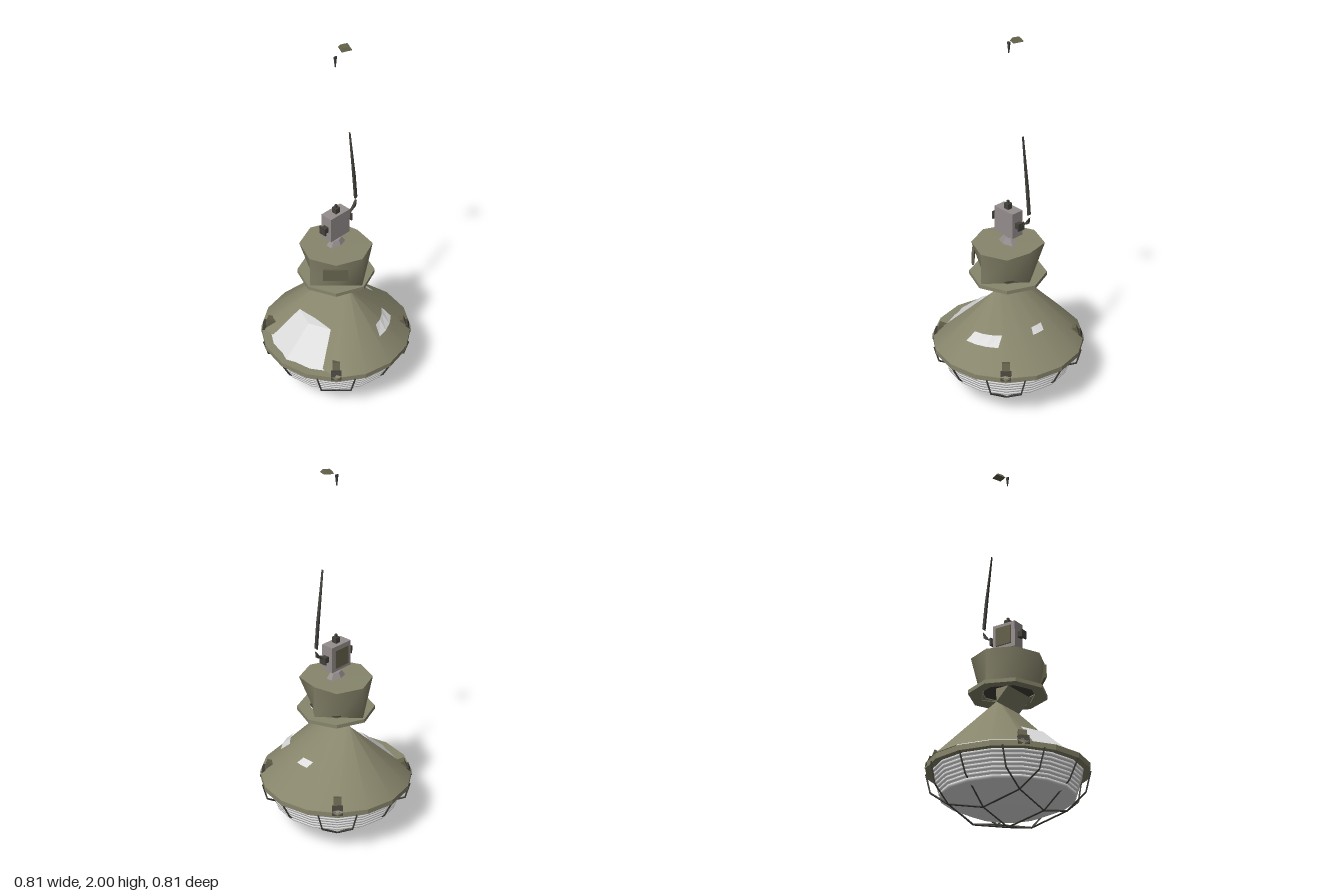
import * as THREE from 'three';

const DS = THREE.DoubleSide;
const mat = (name, color, flatShading = true) => {
  const m = new THREE.MeshStandardMaterial({ color, flatShading, side: DS });
  m.name = name;
  return m;
};

// Skin between rings of [x, y, z] points
function loft(rings, closed = true) {
  const n = rings[0].length, idx = [];
  for (let r = 0; r < rings.length - 1; r++) {
    for (let i = 0; i < (closed ? n : n - 1); i++) {
      const j = (i + 1) % n, a = r * n + i, b = r * n + j;
      idx.push(a, b, b + n, a, b + n, a + n);
    }
  }
  const g = new THREE.BufferGeometry();
  g.setAttribute('position', new THREE.Float32BufferAttribute(rings.flat(2), 3));
  g.setIndex(idx);
  g.computeVertexNormals();
  return g;
}

// Regular ring, starting at +z and turning towards +x
const ring = (n, r, y) => Array.from({ length: n }, (_, i) => {
  const a = i / n * Math.PI * 2;
  return [r * Math.sin(a), y, r * Math.cos(a)];
});

export function createModel() {
  const model = new THREE.Group();
  const olive = mat('olive paint', 0x87856b);
  const oliveSmooth = olive.clone();
  oliveSmooth.flatShading = false;
  const grey = mat('grey metal', 0x958e8e);
  const white = mat('reflector white', 0xdcdcdc);
  const glass = mat('glass white', 0xe2e2e2, false);
  const dark = mat('dark wire', 0x45423c);
  const bracket = mat('dark olive', 0x64614b);

  const add = (name, geo, m, x = 0, y = 0, z = 0) => {
    const mesh = new THREE.Mesh(geo, m);
    mesh.name = name;
    mesh.position.set(x, y, z);
    model.add(mesh);
    return mesh;
  };
  const box = (name, w, h, d, m, x, y, z) => add(name, new THREE.BoxGeometry(w, h, d), m, x, y, z);
  const rod = (name, points, r, m) => {
    for (let i = 0; i < points.length - 1; i++) {
      const a = new THREE.Vector3(...points[i]), b = new THREE.Vector3(...points[i + 1]);
      const mesh = add(name, new THREE.CylinderGeometry(r, r, a.distanceTo(b), 4), m);
      mesh.position.copy(a).add(b).multiplyScalar(0.5);
      mesh.quaternion.setFromUnitVectors(new THREE.Vector3(0, 1, 0), b.sub(a).normalize());
    }
  };

  // Shade: cone closing to a short ridge, cut flat on the -x side
  const shadePoint = (a, t, lift = 0) => {
    const x = Math.max(-0.29, 0.405 * Math.sin(a)), z = 0.405 * Math.cos(a);
    return [x * (1 - t) + lift * Math.sin(a), 0.305 + 0.315 * t + lift,
      z * (1 - t) + 0.1 * Math.cos(a) * t + lift * Math.cos(a)];
  };
  const shadeRing = t => Array.from({ length: 16 }, (_, i) => shadePoint(i * Math.PI / 8, t));
  add('shade', loft([shadeRing(0), shadeRing(1)]), oliveSmooth);
  add('shadeRim', loft([ring(16, 0.36, 0.275), ring(16, 0.405, 0.275),
    ring(16, 0.405, 0.302), ring(16, 0.36, 0.302)]), olive);

  // Reflector inside, showing through the shade
  add('reflector', loft([ring(8, 0.39, 0.285), ring(8, 0.205, 0.45), ring(8, 0.13, 0.455)]), white);
  const patch = (name, a0, a1, t0, t1, skew) => {
    const row = (t, s) => [0, 1, 2, 3].map(i => shadePoint((a0 + s + (a1 - a0) * i / 3) * Math.PI / 180, t, 0.005));
    add(name, loft([row(t0, 0), row(t1, skew)], false), white);
  };
  patch('frontReflectorPatch', 3, 40, 0.33, 0.47, 5);
  patch('sideReflectorPatch', 80, 95, 0.41, 0.49, 3);

  // Neck: a wedge between shade and housing
  const neck = new THREE.Shape([[0, 0.62], [0.004, 0.69], [-0.07, 0.69]].map(p => new THREE.Vector2(...p)));
  add('neck', new THREE.ExtrudeGeometry(neck, { depth: 0.2, bevelEnabled: false }), olive, 0, 0, -0.1);

  // Housing: octagonal top narrowing to a diamond foot, on a flange
  const top = ring(8, 0.19, 0.872).map(([x, y, z]) => [Math.min(x, 0.16), y, z]);
  const foot = top.map((p, i) => {
    const a = top[(i + 7) % 8], b = top[(i + 1) % 8];
    return i % 2 ? [(a[0] + b[0]) / 2, 0.695, (a[2] + b[2]) / 2] : [p[0], 0.695, p[2]];
  });
  add('housing', loft([foot, top]), oliveSmooth);
  add('housingLid', loft([top, top.map(() => [0, 0.875, 0])]), olive);
  add('housingFlange', loft([ring(8, 0.135, 0.7), ring(8, 0.203, 0.7), ring(8, 0.203, 0.68), ring(8, 0.15, 0.68)]), olive);
  add('housingInside', new THREE.CylinderGeometry(0.135, 0.135, 0.006, 8), dark, 0, 0.708, 0);

  // Side cover plate on one diagonal
  const cover = box('coverPlate', 0.13, 0.07, 0.012, bracket, -0.128, 0.805, 0.125);
  cover.rotation.y = -Math.PI / 4;

  // Clips around the rim, leaning in with the shade
  for (const sx of [-1, 1]) for (const sz of [-1, 1]) {
    const clip = new THREE.Group();
    clip.name = 'rimClip';
    const part = (w, h, d, m, x, y, z) => {
      const p = new THREE.Mesh(new THREE.BoxGeometry(w, h, d), m);
      p.position.set(x, y, z);
      p.rotation.x = -0.35;
      clip.add(p);
    };
    part(0.04, 0.065, 0.05, bracket, 0, 0.03, -0.03);
    part(0.055, 0.05, 0.014, dark, 0, 0.008, 0.008);
    clip.position.set(sx * 0.27, 0.3, sz * 0.27);
    clip.rotation.y = Math.atan2(sx, sz);
    model.add(clip);
  }

  // Ribbed glass bowl
  const profile = [[0.001, 0.03], [0.2, 0.088], [0.325, 0.145]];
  for (let i = 0; i < 7; i++) {
    const y = 0.15 + i * 0.019, r = 0.333 + i * 0.006;
    profile.push([r, y], [r + 0.002, y + 0.011], [r - 0.008, y + 0.013]);
  }
  add('glassBowl', new THREE.LatheGeometry(profile.map(p => new THREE.Vector2(...p)), 16), glass);

  // Guard: square grid of bent wires under the bowl
  const middle = [[-0.4, 0.28], [-0.35, 0.18], [-0.205, 0.055], [0, 0.008]];
  const outer = [[-0.345, 0.28], [-0.315, 0.18], [-0.205, 0.105], [0, 0.055]];
  for (const off of [-0.205, 0, 0.205]) {
    const half = off ? outer : middle;
    const path = [...half, ...half.slice(0, 3).reverse().map(([u, y]) => [-u, y])];
    rod('guardWire', path.map(([u, y]) => [off, y, u]), 0.0048, dark);
    rod('guardWire', path.map(([u, y]) => [u, y, off]), 0.0048, dark);
  }

  // Junction box with its foot, glands and top bolt
  const base = add('boxFoot', new THREE.CylinderGeometry(0.035, 0.06, 0.03, 6), grey, 0, 0.888, 0);
  base.scale.z = 0.6;
  box('junctionBox', 0.135, 0.14, 0.07, grey, 0, 1.0, -0.003);
  box('boxBackPlate', 0.09, 0.1, 0.008, bracket, 0, 1.0, -0.041);
  for (const s of [-1, 1]) {
    box('sideGland', 0.025, 0.03, 0.03, dark, s * 0.08, 1.0, 0);
    box('glandCap', 0.008, 0.042, 0.042, dark, s * 0.095, 1.0, 0);
  }
  box('bottomBolt', 0.03, 0.022, 0.02, grey, 0, 0.92, 0);
  box('topBolt', 0.03, 0.03, 0.03, dark, 0, 1.085, 0);
  box('topPin', 0.012, 0.02, 0.012, dark, 0, 1.105, 0);

  // Remains of the cable: thin blades
  const blade = (name, pts, w) => {
    const s = new THREE.Shape(pts.map(p => new THREE.Vector2(...p)));
    add(name, new THREE.ExtrudeGeometry(s, { depth: w, bevelEnabled: false }), dark, 0, 0, -0.005 - w / 2);
  };
  blade('cable', [[0.1, 1.5], [0.14, 1.23], [0.154, 1.09], [0.142, 1.08], [0.128, 1.22]], 0.013);
  blade('cableEnd', [[0.15, 1.07], [0.145, 1.035], [0.1, 1.01], [0.125, 1.035]], 0.013);
  blade('cableTop', [[-0.008, 1.96], [0.008, 1.96], [0, 1.905]], 0.008);

  // Ceiling hook plate
  const hook = add('ceilingPlate', new THREE.CylinderGeometry(0.024, 0.037, 0.016, 4), bracket, 0.06, 1.989, 0);
  hook.rotation.set(0, 0.35, 0.1);

  return model;
}
